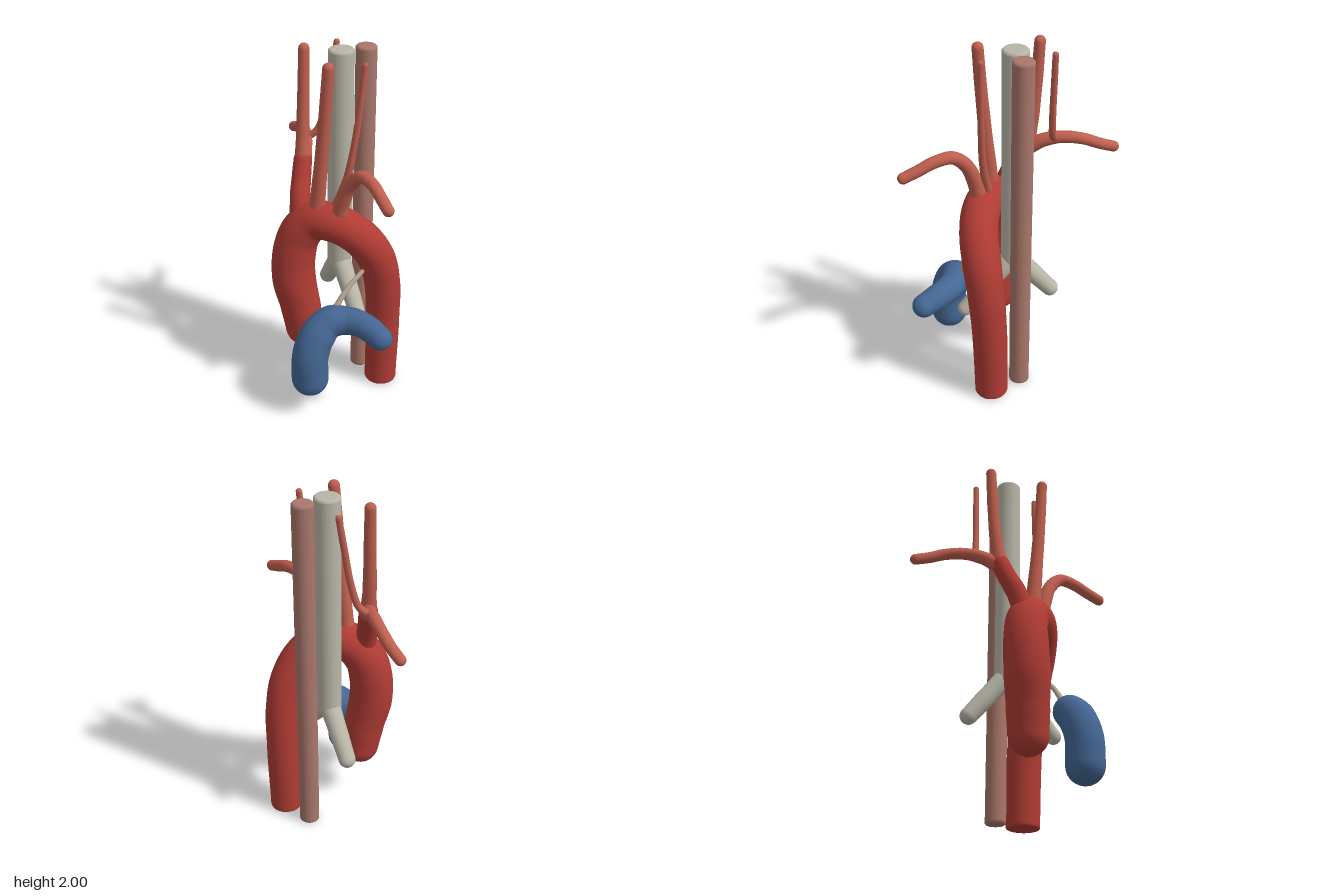
import * as THREE from 'three';

const mat = (name, color) => {
  const m = new THREE.MeshStandardMaterial({ color });
  m.name = name;
  return m;
};

// Vessel of varying radius through points [x, y, z, r]; ends are domed or flat
function vesselGeometry(pts, { flatEnd = false, segments = 56, sides = 28 } = {}) {
  const curve = new THREE.CatmullRomCurve3(pts.map(p => new THREE.Vector3(p[0], p[1], p[2])));
  const frames = curve.computeFrenetFrames(segments, false);
  const radiusAt = u => {
    const f = curve.getUtoTmapping(u) * (pts.length - 1);
    const i = Math.min(Math.floor(f), pts.length - 2);
    return THREE.MathUtils.lerp(pts[i][3], pts[i + 1][3], THREE.MathUtils.smoothstep(f - i, 0, 1));
  };

  // Rings: [frame index, shift along the tangent, radius]
  const rings = [];
  const r0 = pts[0][3], r1 = pts[pts.length - 1][3], dome = 8;
  for (let k = 0; k < dome; k++) {
    const a = (k / dome) * Math.PI / 2;
    rings.push([0, -r0 * Math.cos(a), r0 * Math.sin(a)]);
  }
  for (let i = 0; i <= segments; i++) rings.push([i, 0, radiusAt(i / segments)]);
  if (flatEnd) {
    rings.push([segments, 0.008, r1 - 0.003], [segments, 0.011, r1 - 0.01], [segments, 0.011, r1 - 0.014], [segments, 0.011, 0]);
  } else {
    for (let k = 1; k <= dome; k++) {
      const a = (k / dome) * Math.PI / 2;
      rings.push([segments, r1 * Math.sin(a), r1 * Math.cos(a)]);
    }
  }

  const pos = [], index = [];
  rings.forEach(([f, shift, r], i) => {
    const c = curve.getPointAt(f / segments).addScaledVector(frames.tangents[f], shift);
    for (let j = 0; j < sides; j++) {
      const a = (j / sides) * Math.PI * 2;
      const p = c.clone()
        .addScaledVector(frames.normals[f], r * Math.cos(a))
        .addScaledVector(frames.binormals[f], r * Math.sin(a));
      pos.push(p.x, p.y, p.z);
      if (i === rings.length - 1) continue;
      const p0 = i * sides + j, p1 = i * sides + (j + 1) % sides;
      index.push(p0, p1, p0 + sides, p1, p1 + sides, p0 + sides);
    }
  });
  const g = new THREE.BufferGeometry();
  g.setAttribute('position', new THREE.Float32BufferAttribute(pos, 3));
  g.setIndex(index);
  g.computeVertexNormals();
  return g;
}

// Upright pipe with softly bevelled flat ends
function pipeGeometry(r, y0, y1) {
  const b = 0.008;
  const profile = [
    [0, y0], [r - 2 * b, y0], [r - b, y0], [r, y0 + b], [r, y0 + 2 * b],
    [r, y1 - 2 * b], [r, y1 - b], [r - b, y1], [r - 2 * b, y1], [0, y1],
  ];
  return new THREE.LatheGeometry(profile.map(p => new THREE.Vector2(...p)), 40);
}

export function createModel() {
  const model = new THREE.Group();
  model.name = 'greatVessels';
  const aortaRed = mat('aortaRed', 0xb03c34);
  const branchRed = mat('branchRed', 0xbf5f4e);
  const veinBlue = mat('pulmonaryBlue', 0x446794);
  const airwayGrey = mat('airwayGrey', 0xb9b6a8);
  const gulletPink = mat('oesophagusPink', 0xa9776b);
  const ligamentTan = mat('ligamentTan', 0xb8aa98);

  const add = (name, geometry, material, x = 0, z = 0) => {
    const m = new THREE.Mesh(geometry, material);
    m.name = name;
    m.position.set(x, 0, z);
    model.add(m);
  };
  const vessel = (name, material, pts, options) => add(name, vesselGeometry(pts, options), material);

  // Aorta: ascending, arch, descending
  vessel('aorta', aortaRed, [
    [-0.09, 0.375, 0.08, 0.107], [-0.108, 0.52, 0.09, 0.114], [-0.138, 0.7, 0.107, 0.122],
    [-0.14, 0.85, 0.102, 0.12], [-0.11, 0.99, 0.08, 0.115], [-0.04, 1.075, 0.05, 0.109],
    [0.05, 1.09, 0.03, 0.105], [0.135, 1.06, -0.01, 0.104], [0.207, 0.98, -0.07, 0.104],
    [0.25, 0.85, -0.135, 0.104], [0.264, 0.68, -0.178, 0.1], [0.26, 0.42, -0.2, 0.096],
    [0.253, 0.016, -0.205, 0.092],
  ], { flatEnd: true, segments: 110, sides: 40 });

  vessel('brachiocephalicTrunk', aortaRed, [
    [-0.11, 1.06, 0.07, 0.062], [-0.14, 1.18, 0.04, 0.056], [-0.168, 1.29, -0.01, 0.052], [-0.182, 1.365, -0.04, 0.05],
  ]);

  // Right-hand branches
  vessel('rightCarotid', branchRed, [
    [-0.182, 1.35, -0.04, 0.044], [-0.197, 1.5, -0.06, 0.036], [-0.205, 1.72, -0.08, 0.032], [-0.21, 1.965, -0.095, 0.029],
  ]);
  vessel('rightSubclavian', branchRed, [
    [-0.185, 1.36, -0.05, 0.045], [-0.23, 1.41, -0.125, 0.037], [-0.29, 1.433, -0.2, 0.033],
    [-0.37, 1.42, -0.28, 0.031], [-0.44, 1.385, -0.33, 0.03], [-0.51, 1.355, -0.37, 0.029],
  ]);
  vessel('rightVertebral', branchRed, [
    [-0.26, 1.425, -0.17, 0.022], [-0.208, 1.475, -0.2, 0.019], [-0.175, 1.6, -0.225, 0.018],
    [-0.15, 1.8, -0.25, 0.017], [-0.13, 1.97, -0.27, 0.016],
  ], { sides: 16 });

  // Left-hand branches
  vessel('leftCarotid', branchRed, [
    [-0.015, 1.13, 0.055, 0.045], [-0.003, 1.25, 0.058, 0.04], [0.025, 1.5, 0.062, 0.035],
    [0.05, 1.75, 0.065, 0.032], [0.068, 1.965, 0.066, 0.03],
  ]);
  vessel('leftSubclavian', branchRed, [
    [0.105, 1.1, 0.02, 0.047], [0.135, 1.24, 0.028, 0.042], [0.19, 1.36, 0.035, 0.037], [0.27, 1.432, 0.052, 0.034],
    [0.36, 1.43, 0.085, 0.032], [0.44, 1.395, 0.125, 0.031], [0.507, 1.365, 0.162, 0.03],
  ]);
  vessel('leftVertebral', branchRed, [
    [0.06, 1.15, 0.005, 0.028], [0.095, 1.25, -0.01, 0.023], [0.13, 1.38, -0.026, 0.02], [0.157, 1.57, -0.045, 0.018],
    [0.176, 1.78, -0.062, 0.017], [0.188, 1.965, -0.077, 0.016],
  ], { sides: 16 });

  // Pulmonary trunk turning into its left artery
  vessel('pulmonaryTrunk', veinBlue, [
    [0.112, 0.232, 0.288, 0.103], [0.113, 0.38, 0.285, 0.101], [0.125, 0.49, 0.24, 0.099], [0.16, 0.56, 0.17, 0.09],
    [0.255, 0.575, 0.112, 0.076], [0.35, 0.57, 0.1, 0.071], [0.455, 0.548, 0.113, 0.065],
  ], { segments: 70, sides: 36 });

  vessel('arterialLigament', ligamentTan, [
    [0.16, 0.62, 0.13, 0.017], [0.19, 0.73, 0.05, 0.014], [0.228, 0.815, -0.045, 0.012],
  ], { sides: 14, segments: 16 });

  // Airway: windpipe and two bronchi
  add('trachea', pipeGeometry(0.068, 0.74, 2), airwayGrey, 0.003, -0.13);
  vessel('rightBronchus', airwayGrey, [
    [0.003, 0.78, -0.13, 0.057], [-0.084, 0.655, -0.191, 0.052], [-0.17, 0.53, -0.25, 0.047],
  ], { segments: 16 });
  vessel('leftBronchus', airwayGrey, [
    [0.003, 0.78, -0.13, 0.057], [0.127, 0.63, -0.065, 0.05], [0.25, 0.48, 0, 0.043],
  ], { segments: 16 });

  add('oesophagus', pipeGeometry(0.056, 0, 2), gulletPink, 0.073, -0.25);
  return model;
}
